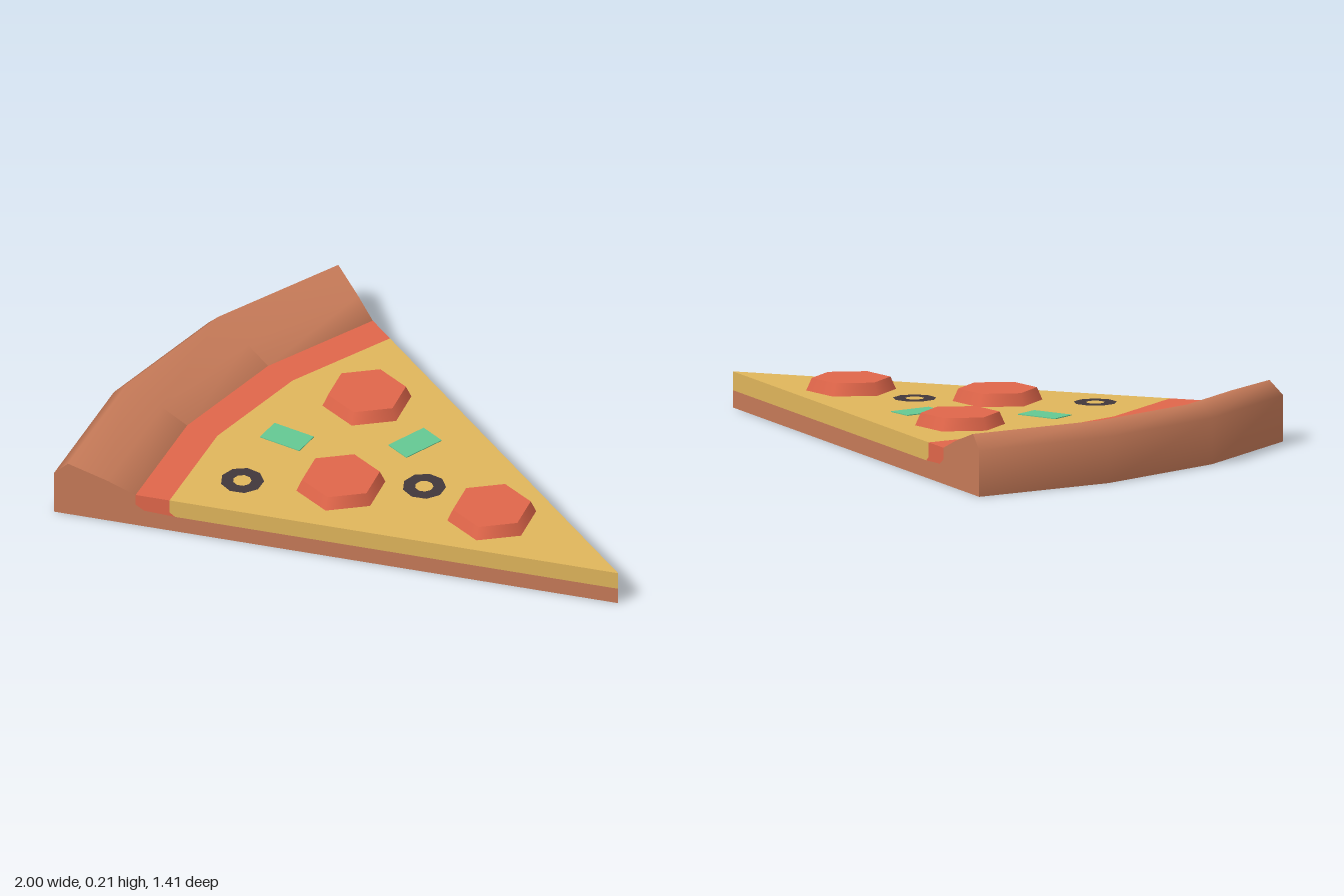
import * as THREE from 'three';
import { toCreasedNormals } from 'three/addons/utils/BufferGeometryUtils.js';

const material = (name, color) => {
  const m = new THREE.MeshStandardMaterial({ color });
  m.name = name;
  return m;
};

// Sweeps a closed (radius, height) section around the tip of the slice.
function wedge(section, crease) {
  const steps = 3, sweep = Math.PI / 4, pos = [];
  const at = ([r, y], k) => {
    const a = sweep * k / steps;
    return [1 - r * Math.cos(a), y, 0.707 - r * Math.sin(a)];
  };
  const tri = (...corners) => corners.forEach((c) => pos.push(...c));
  section.forEach((p, i) => {
    const q = section[(i + 1) % section.length];
    for (let k = 0; k < steps; k++) {
      if (p[0] > 0) tri(at(p, k), at(q, k), at(p, k + 1));
      if (q[0] > 0) tri(at(q, k), at(q, k + 1), at(p, k + 1));
    }
  });
  // Cut faces at both ends
  const contour = section.map(([r, y]) => new THREE.Vector2(r, y));
  for (const [a, b, c] of THREE.ShapeUtils.triangulateShape(contour, [])) {
    tri(at(section[a], 0), at(section[c], 0), at(section[b], 0));
    tri(at(section[a], steps), at(section[b], steps), at(section[c], steps));
  }
  const g = new THREE.BufferGeometry();
  g.setAttribute('position', new THREE.Float32BufferAttribute(pos, 3));
  return toCreasedNormals(g, crease);
}

export function createModel() {
  const model = new THREE.Group();
  model.name = 'pizzaSlice';
  const crustMat = material('bakedCrust', 0xc67a58);
  const redMat = material('tomatoRed', 0xe0664a);
  const cheeseMat = material('cheese', 0xe0b65c);
  const pepperMat = material('greenPepper', 0x64c893);
  const oliveMat = material('blackOlive', 0x41373c);

  const add = (name, geometry, mat, x = 0, y = 0, z = 0, turn = 0) => {
    const mesh = new THREE.Mesh(geometry, mat);
    mesh.name = name;
    mesh.position.set(x, y, z);
    mesh.rotation.y = turn;
    model.add(mesh);
  };

  // Base with raised rim, then sauce band and cheese
  add('crust', wedge([[0, 0], [2, 0], [2, 0.16], [1.95, 0.21], [1.81, 0.165],
    [1.71, 0.125], [1.71, 0.085], [1.68, 0.065], [1.57, 0.06], [0, 0.06]], 1.2), crustMat);
  add('sauce', wedge([[1.57, 0.06], [1.68, 0.065], [1.71, 0.085], [1.71, 0.125],
    [1.59, 0.125], [1.59, 0.075]], 0.5), redMat);
  add('cheese', wedge([[0, 0.06], [1.57, 0.06], [1.59, 0.075], [1.59, 0.125],
    [0, 0.125]], 0.5), cheeseMat);

  // Tapered six-sided pepperoni
  const pepperoni = new THREE.CylinderGeometry(0.135, 0.155, 0.045, 6);
  for (const [x, z] of [[-0.1, -0.04], [-0.05, 0.467], [0.493, 0.497]])
    add('pepperoni', pepperoni, redMat, x, 0.1455, z, -0.07);

  // Flat olive rings
  const olive = new THREE.RingGeometry(0.032, 0.075, 9).rotateX(-Math.PI / 2);
  for (const [x, z] of [[-0.382, 0.53], [0.225, 0.395]])
    add('oliveRing', olive, oliveMat, x, 0.128, z, 0.2);

  // Thin pepper pieces
  const pepper = new THREE.BoxGeometry(0.157, 0.004, 0.096);
  for (const [x, z, turn] of [[-0.305, 0.24, -0.27], [0.125, 0.155, 0.97]])
    add('pepperPiece', pepper, pepperMat, x, 0.126, z, turn);

  return model;
}
